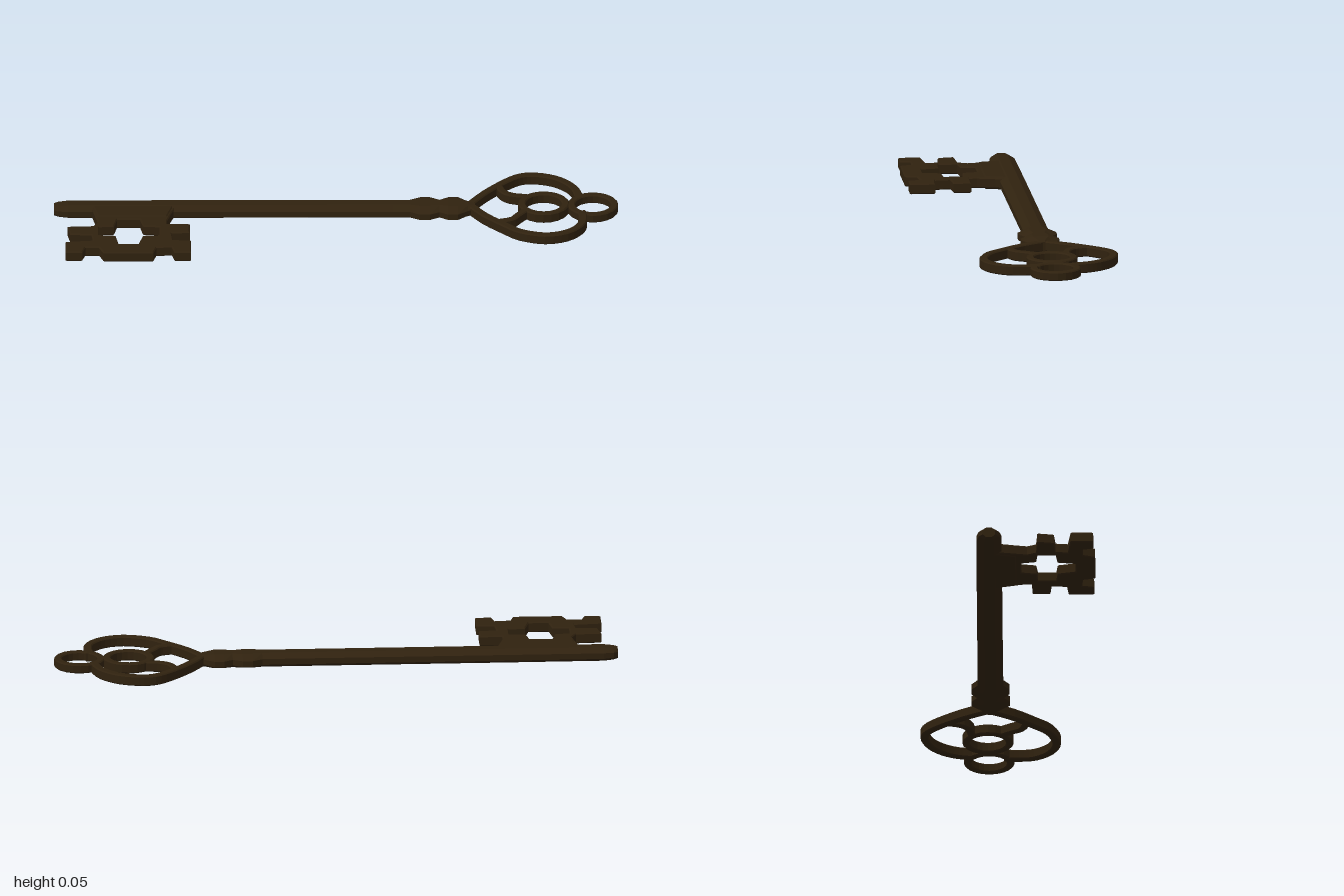
import * as THREE from 'three';

const MID = 0.0275; // height of the key's middle plane
const SCALE = 187;  // plan drawing units per model unit

// Plan drawing coordinates to model x, z
const plan = ([u, v]) => new THREE.Vector2((u - 1134) / SCALE, (v - 224.5) / SCALE);

function facet(geo) {
  const g = geo.index ? geo.toNonIndexed() : geo;
  g.computeVertexNormals();
  return g;
}

// Flat plate lying in the xz plane, centred on the middle plane
function plate(outline, holes, thick, bevel) {
  const shape = new THREE.Shape(outline);
  holes.forEach(h => shape.holes.push(new THREE.Path(h)));
  const depth = thick - 2 * bevel;
  const geo = new THREE.ExtrudeGeometry(shape, {
    depth, bevelEnabled: bevel > 0, bevelSize: bevel, bevelOffset: -bevel,
    bevelThickness: bevel, bevelSegments: 1, curveSegments: 8
  });
  geo.rotateX(Math.PI / 2);
  geo.translate(0, MID + depth / 2, 0);
  return facet(geo);
}

// Strip of constant width following a curve through plan points
function strip(points, width, thick, steps = 24) {
  const path = new THREE.SplineCurve(points.map(plan));
  const a = [], b = [];
  for (let i = 0; i <= steps; i++) {
    const p = path.getPoint(i / steps), t = path.getTangent(i / steps);
    const n = new THREE.Vector2(-t.y, t.x).multiplyScalar(width / 2);
    a.push(p.clone().add(n));
    b.unshift(p.clone().sub(n));
  }
  return plate([...a, ...b], [], thick, 0.004);
}

// Elliptical ring
function ring(u, v, ru, rv, width, thick) {
  const loop = w => Array.from({ length: 20 }, (_, i) => {
    const a = i / 20 * Math.PI * 2;
    return plan([u + (ru + w) * Math.cos(a), v + (rv + w) * Math.sin(a)]);
  });
  return plate(loop(width / 2), [loop(-width / 2)], thick, 0.004);
}

export function createModel() {
  const key = new THREE.Group();
  key.name = 'key';
  const bronze = new THREE.MeshStandardMaterial({ color: 0x30220f });
  bronze.name = 'darkBronze';
  const add = (name, geo, parent = key) => {
    const m = new THREE.Mesh(geo, bronze);
    m.name = name;
    parent.add(m);
  };

  // Flattened eight-sided bar turned along x: [x, half width, half height]
  function bar(rows) {
    const pos = [], idx = [], sides = 8;
    rows.forEach(([x, w, h]) => {
      const zc = -0.066 - 0.005 * x;
      for (let i = 0; i < sides; i++) {
        const a = (i + 0.5) / sides * Math.PI * 2, k = Math.cos(Math.PI / 8);
        pos.push(x, MID + Math.sin(a) * h / k, zc + Math.cos(a) * w / k);
      }
    });
    for (let r = 0; r < rows.length - 1; r++) {
      for (let i = 0; i < sides; i++) {
        const j = (i + 1) % sides, p = r * sides, q = p + sides;
        idx.push(p + i, p + j, q + j, p + i, q + j, q + i);
      }
    }
    const last = (rows.length - 1) * sides;
    for (let i = 1; i < sides - 1; i++) {
      idx.push(0, i + 1, i, last, last + i, last + i + 1);
    }
    // wind every triangle outwards
    for (let t = 0; t < idx.length; t += 3) [idx[t + 1], idx[t + 2]] = [idx[t + 2], idx[t + 1]];
    const g = new THREE.BufferGeometry();
    g.setAttribute('position', new THREE.Float32BufferAttribute(pos, 3));
    g.setIndex(idx);
    // the sweep runs along +x, so check the sign of the volume once
    let vol = 0;
    const P = i => new THREE.Vector3().fromArray(pos, i * 3);
    for (let t = 0; t < idx.length; t += 3) vol += P(idx[t]).dot(P(idx[t + 1]).cross(P(idx[t + 2])));
    if (vol < 0) g.setIndex(idx.reverse());
    return facet(g);
  }

  // Shaft with rounded tip
  add('shaft', bar([
    [-1, 0.022, 0.019], [-0.985, 0.036, 0.022], [-0.95, 0.044, 0.025],
    [-0.6, 0.045, 0.0255], [0.2, 0.045, 0.0255], [0.27, 0.046, 0.0255]
  ]));
  // Two collars and the neck into the bow
  add('collars', bar([
    [0.26, 0.046, 0.0255], [0.295, 0.068, 0.0255], [0.33, 0.068, 0.0255],
    [0.365, 0.048, 0.025], [0.395, 0.068, 0.0255], [0.43, 0.068, 0.0255],
    [0.465, 0.038, 0.022], [0.49, 0.022, 0.018]
  ]));

  // Toothed bit with a cross-shaped opening
  const bitOutline = [
    [971, 213], [974, 228], [976, 238], [973, 244], [956, 245], [958, 256], [972, 257],
    [973, 265], [955, 267], [955, 282], [966, 282], [968, 275], [977, 275], [980, 283],
    [1013, 283], [1015, 275], [1025, 274], [1027, 282], [1038, 282], [1038, 265],
    [1026, 264], [1025, 254], [1037, 253], [1037, 241], [1022, 241], [1022, 236],
    [1025, 224], [1029, 213]
  ].map(plan);
  const bitHole = [
    [989, 234], [1004, 234], [1006, 244], [1017, 245], [1017, 257], [1006, 258],
    [1003, 270], [990, 270], [988, 258], [977, 257], [977, 245], [987, 244]
  ].map(plan);
  add('bit', plate(bitOutline, [bitHole], 0.038, 0.004));
  // Thicker root of the bit under the shaft
  add('bitRoot', plate([[972, 213], [976, 231], [1022, 231], [1027, 213]].map(plan), [], 0.046, 0.005));

  // Bow: two lobes, braces, middle ring and end ring
  const bow = new THREE.Group();
  bow.name = 'bow';
  key.add(bow);
  const W = 0.03, T = 0.036;
  add('upperLobe', strip([[1221, 212], [1232, 194], [1246, 177], [1256, 169], [1266, 168],
    [1278, 172], [1287, 180], [1292, 189], [1294, 198]], W, T), bow);
  add('lowerLobe', strip([[1221, 209], [1232, 226], [1246, 241], [1256, 250], [1272, 255],
    [1286, 251], [1295, 241], [1297, 230], [1296, 220]], W, T), bow);
  add('upperBrace', strip([[1241, 183], [1244, 192], [1250, 197], [1260, 199]], 0.027, T, 8), bow);
  add('lowerBrace', strip([[1242, 235], [1250, 232], [1254, 226], [1259, 219]], 0.027, T, 8), bow);
  add('middleRing', ring(1271, 209.5, 14.5, 14.5, 5, T), bow);
  add('endRing', ring(1303.5, 210, 14.3, 14.3, 5, 0.032), bow);

  return key;
}
